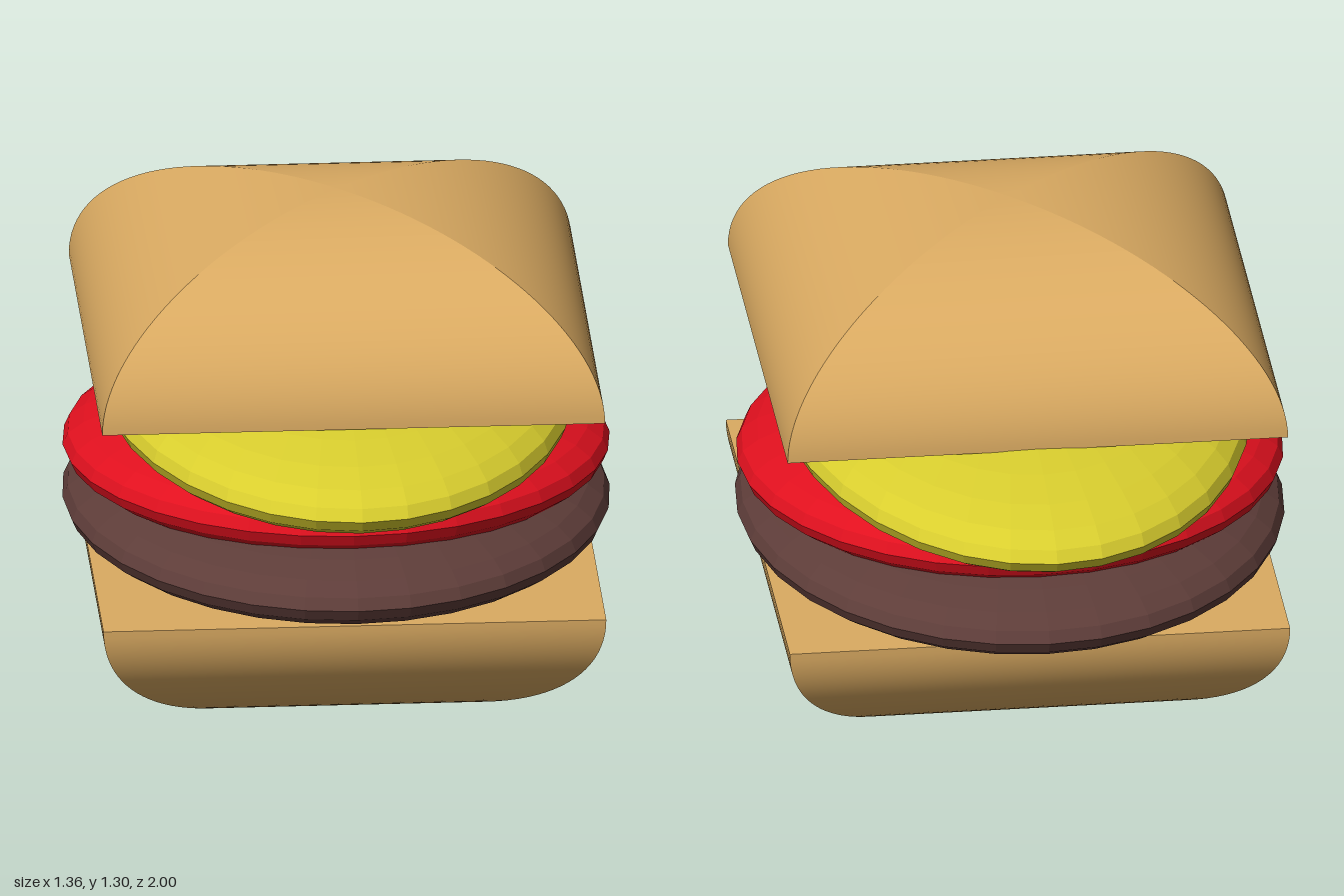
import * as THREE from 'three';
import { mergeGeometries } from 'three/addons/utils/BufferGeometryUtils.js';

const paint = (color, flatShading = false) =>
  new THREE.MeshStandardMaterial({ color, flatShading });

// Square dome: four singly curved sides meeting in sharp diagonal ridges, closed by a flat base.
function squareDome(half, height) {
  const side = new THREE.PlaneGeometry(2, 1, 1, 32);
  const p = side.attributes.position;
  for (let i = 0; i < p.count; i++) {
    const a = (p.getY(i) + 0.5) * Math.PI / 2;
    const r = half * Math.cos(a);
    p.setXYZ(i, p.getX(i) * r, height * Math.sin(a), r);
  }
  side.computeVertexNormals();
  const parts = [new THREE.PlaneGeometry(2 * half, 2 * half).rotateX(Math.PI / 2)];
  for (let k = 0; k < 4; k++) parts.push(side.clone().rotateY(k * Math.PI / 2));
  return mergeGeometries(parts);
}

export function createModel() {
  const group = new THREE.Group();
  const add = (name, geometry, material, y, z = 0) => {
    const mesh = new THREE.Mesh(geometry, material);
    mesh.name = name;
    mesh.position.set(0, y, z);
    group.add(mesh);
    return mesh;
  };

  // Bun halves, sitting slightly forward of the filling
  const bread = paint(0xdbab62);
  add('topBun', squareDome(0.625, 0.4), bread, 0.897, 0.035);
  add('bottomBun', squareDome(0.67, 0.392).rotateX(Math.PI), bread, 0.392, 0.035)
    .scale.x = 0.625 / 0.67;

  // Filling: faceted, flattened ellipsoids [name, colour, height, half width, half depth]
  const fillings = [
    ['patty', 0x5e3d39, 0.48, 0.68, 0.835],
    ['tomatoSlice', 0xe0101e, 0.62, 0.68, 0.68],
    ['cheeseSlice', 0xd9ce2e, 0.78, 0.59, 1],
  ];
  for (const [name, color, y, rx, rz] of fillings) {
    const disc = new THREE.SphereGeometry(1, 32, 16).scale(rx, 0.15, rz);
    add(name, disc, paint(color, true), y);
  }
  return group;
}
